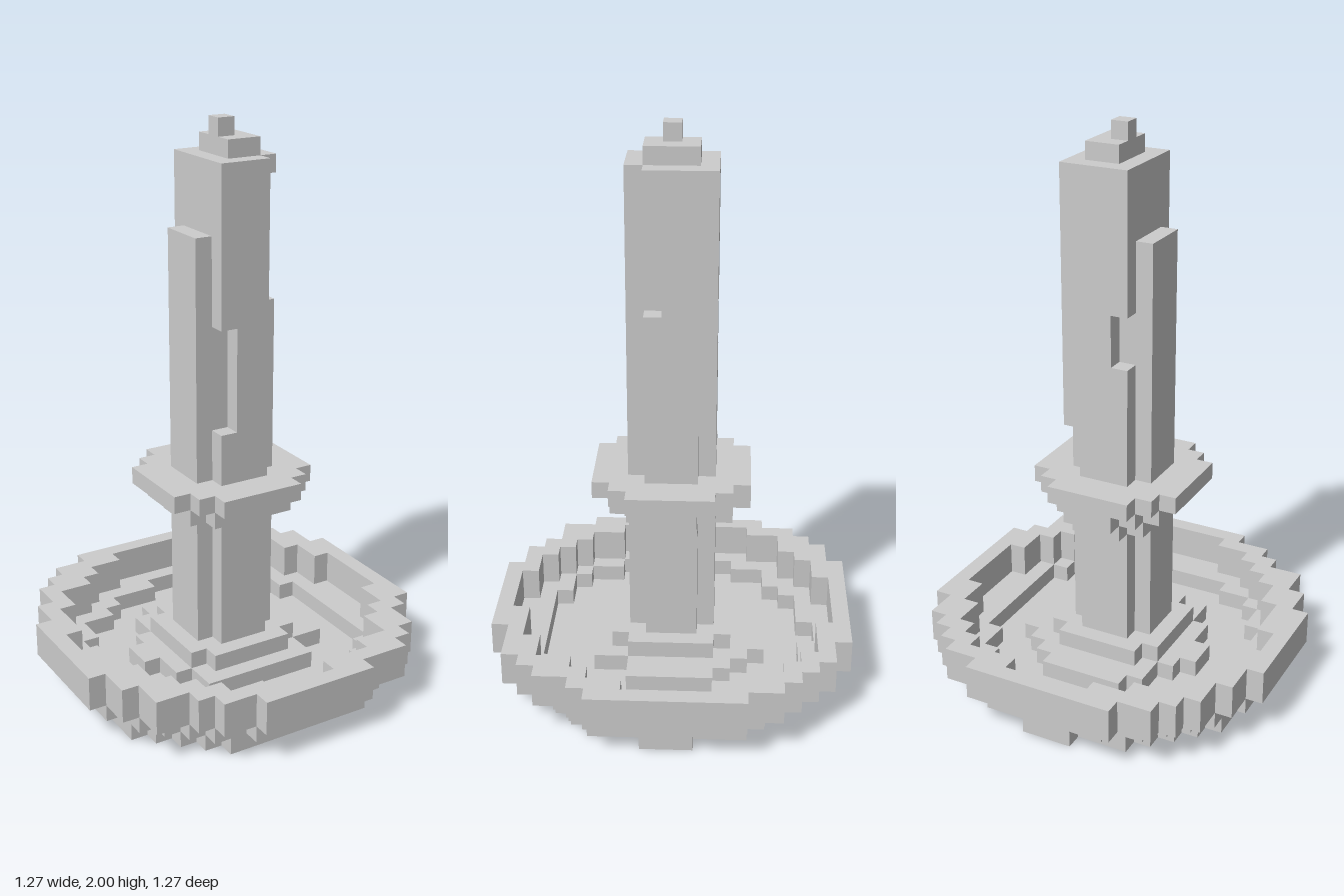
import * as THREE from 'three';

const V = 2 / 33; // size of one block
const grey = new THREE.MeshStandardMaterial({ color: 0xcccccc });
grey.name = 'plain grey';

// stepped outline, anticlockwise; spans are [fromX, toX] block indices, one per row going to +z
function outline(spans, firstRow, Type = THREE.Shape) {
  const right = [], left = [];
  spans.forEach(([a, b], i) => {
    for (const r of [firstRow + i, firstRow + i + 1]) {
      const y = (10.5 - r) * V;
      right.push(new THREE.Vector2((b - 10.5) * V, y));
      left.push(new THREE.Vector2((a - 10.5) * V, y));
    }
  });
  // drop repeated points and points inside straight runs
  let pts = left.concat(right.reverse());
  pts = pts.filter((p, i) => p.distanceTo(pts[(i + 1) % pts.length]) > 1e-6);
  pts = pts.filter((p, i) => {
    const q = pts[(i + pts.length - 1) % pts.length], n = pts[(i + 1) % pts.length];
    return Math.abs((p.x - q.x) * (n.y - p.y) - (p.y - q.y) * (n.x - p.x)) > 1e-9;
  });
  return new Type(pts);
}

// slab of blocks between two levels, with an optional stepped hole
function slab(name, spans, firstRow, from, to, hole, holeRow) {
  const shape = outline(spans, firstRow);
  if (hole) shape.holes.push(outline(hole, holeRow, THREE.Path));
  const geo = new THREE.ExtrudeGeometry(shape, { depth: (to - from) * V, bevelEnabled: false });
  geo.rotateX(-Math.PI / 2);
  geo.translate(0, from * V, 0);
  const mesh = new THREE.Mesh(geo, grey);
  mesh.name = name;
  return mesh;
}

const repeat = (span, n) => Array(n).fill(span);

export function createModel() {
  const model = new THREE.Group();
  model.name = 'candlestick';

  // dish: solid floor, inner ledge, raised rim
  const floor = [[9, 12], [6, 15], [5, 16], [4, 17], [3, 18], ...repeat([2, 19], 3), ...repeat([2, 20], 3),
    ...repeat([2, 19], 3), [3, 18], [4, 17], [5, 16], [6, 15]];
  const ledge = [[7, 14], [5, 16], [4, 17], [3, 18], [2, 19], [2, 19], ...repeat([1, 20], 7),
    [2, 19], [2, 19], [3, 18], [4, 17], [5, 16], [7, 14]];
  const ledgeHole = [[10, 12], [7, 15], [6, 16], [4, 17], [4, 17], ...repeat([3, 18], 7), [4, 18],
    [4, 17], [5, 16], [7, 14]];
  const rim = [[6, 15], [4, 17], [3, 18], [2, 19], [2, 20], [1, 20], [1, 21], ...repeat([0, 21], 7),
    [1, 21], [1, 20], [2, 19], [2, 19], [4, 18], [5, 17], [7, 14]];
  const rimHole = [[8, 13], [6, 16], [5, 17], [3, 18], [3, 18], [2, 19], [2, 19], [2, 20], [1, 20], [1, 20],
    [2, 20], [2, 20], [2, 19], [3, 19], [3, 18], [4, 17], [5, 17], [6, 15], [8, 12]];
  const dish = new THREE.Group();
  dish.name = 'dish';
  dish.add(
    slab('dishFloor', floor, 1, 0, 1),
    slab('dishLedge', ledge, 1, 1, 2, ledgeHole, 2),
    slab('dishRim', rim, 0, 2, 4, rimHole, 1));
  model.add(dish);

  // steps at the foot of the stem
  model.add(
    slab('lowerStep', [[8, 13], [7, 14], [7, 15], [6, 16], [5, 16], [5, 16], [6, 16], [6, 16], [7, 14], [7, 14]], 5, 1, 2),
    slab('upperStep', [[8, 13], ...repeat([7, 14], 5), [8, 13]], 7, 2, 3));

  // stem
  model.add(slab('stem', [[9, 12], ...repeat([8, 13], 3), [9, 12]], 8, 1, 13));

  // collar that catches drips
  const collar = new THREE.Group();
  collar.name = 'collar';
  collar.add(
    slab('collarBottom', [[9, 12], [8, 13], ...repeat([8, 14], 3), [9, 12]], 7, 10, 11),
    slab('collarMiddle', [[9, 12], [8, 13], [7, 14], ...repeat([7, 15], 3), [7, 14], [8, 13]], 6, 11, 12),
    slab('collarTop', [[8, 13], [7, 14], ...repeat([6, 15], 5), [7, 14], [8, 13]], 6, 12, 13));
  model.add(collar);

  // candle, with chipped edges that change by level
  const candle = new THREE.Group();
  candle.name = 'candle';
  const levels = [13, 16, 20, 22, 23, 27, 30, 31];
  for (let i = 0; i < levels.length - 1; i++) {
    const y = levels[i], within = (a, b) => y >= a && y < b;
    const leftSide = y < 27 ? 8 : 9;
    candle.add(slab('candleSection', [
      [within(20, 23) ? 10 : 9, y >= 16 ? 13 : 12],
      [leftSide, 13],
      [leftSide, 13],
      [leftSide, within(23, 30) ? 12 : 13],
      [within(16, 22) ? 10 : 9, 12],
    ], 8, y, levels[i + 1]));
  }
  model.add(candle);

  // melted top and wick
  model.add(
    slab('candleTip', repeat([10, 12], 3), 9, 31, 32),
    slab('wick', [[10, 11]], 10, 32, 33));

  return model;
}
